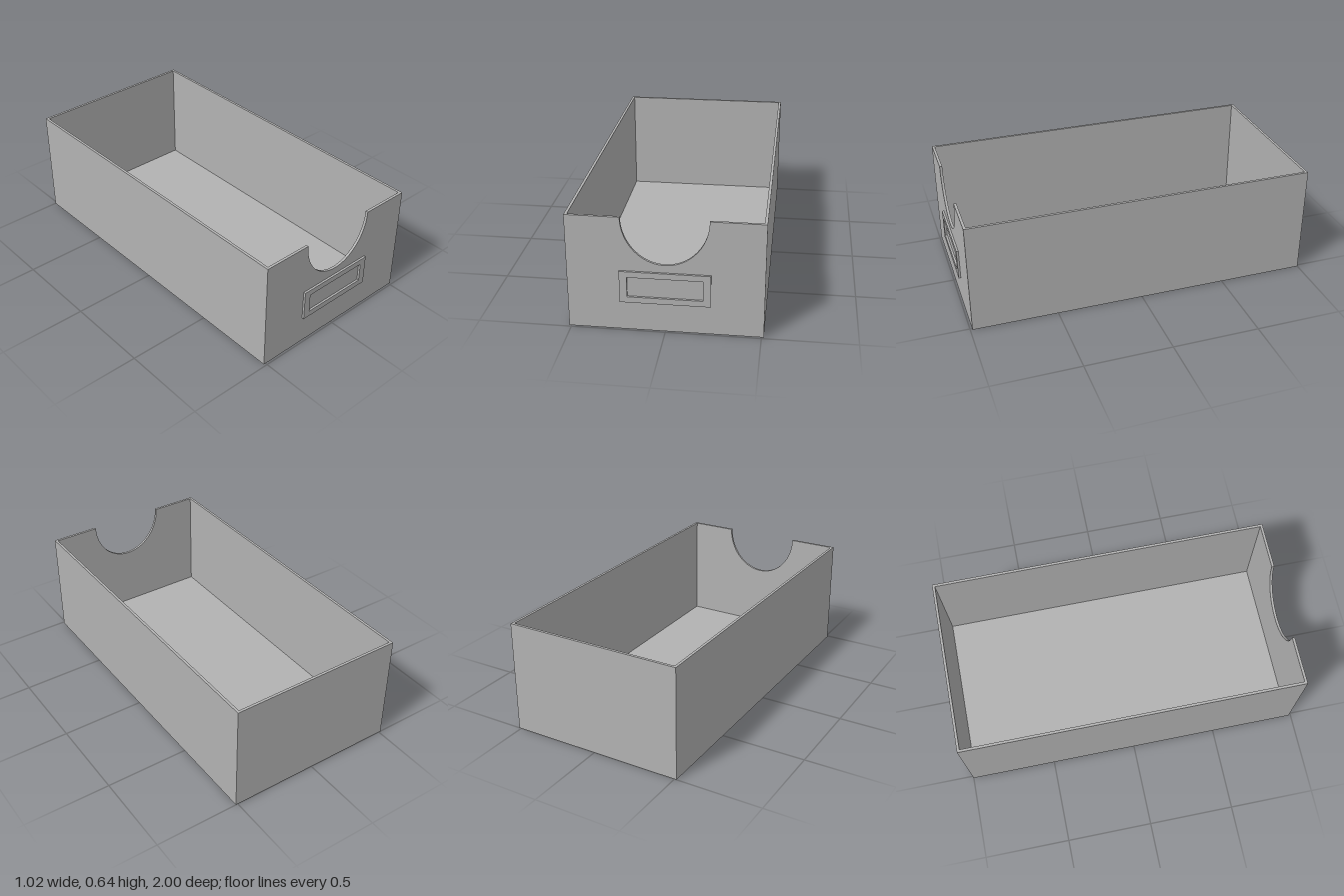
import * as THREE from 'three';

const W = 0.512, H = 0.641, BACK = -1, FRONT = 0.988; // outer box
const T = 0.015, FLOOR = 0.012;                       // wall and floor thickness

const grey = new THREE.MeshStandardMaterial({ color: 0xb2b2b2 });
grey.name = 'plain grey';

function add(group, name, geometry, x, y, z) {
  const mesh = new THREE.Mesh(geometry, grey);
  mesh.name = name;
  mesh.position.set(x, y, z);
  group.add(mesh);
}

function rectangle(path, x, y0, y1) {
  path.moveTo(-x, y0);
  path.lineTo(x, y0);
  path.lineTo(x, y1);
  path.lineTo(-x, y1);
  path.closePath();
  return path;
}

const extrude = (shape, depth) =>
  new THREE.ExtrudeGeometry(shape, { depth, bevelEnabled: false, curveSegments: 48 });

export function createModel() {
  const group = new THREE.Group();
  group.name = 'storageBox';
  const length = FRONT - BACK, midZ = (FRONT + BACK) / 2;

  // Floor fitted between the walls
  add(group, 'floor', new THREE.BoxGeometry(2 * (W - T), FLOOR, length - 2 * T), 0, FLOOR / 2, midZ);

  // Side walls, fitted between front and back
  for (const [name, side] of [['leftWall', 1], ['rightWall', -1]]) {
    add(group, name, new THREE.BoxGeometry(T, H, length - 2 * T), side * (W - T / 2), H / 2, midZ);
  }
  add(group, 'backWall', new THREE.BoxGeometry(2 * W, H, T), 0, H / 2, BACK + T / 2);

  // Front wall with a half-oval hand cutout in its top edge
  const front = new THREE.Shape();
  front.moveTo(-W, 0);
  front.lineTo(W, 0);
  front.lineTo(W, H);
  front.lineTo(0.227, H);
  front.absellipse(0, H, 0.227, 0.256, 0, Math.PI, true, 0);
  front.lineTo(-W, H);
  front.closePath();
  add(group, 'frontWall', extrude(front, T), 0, 0, FRONT - T);

  // Raised label holder with an open window
  const frame = rectangle(new THREE.Shape(), 0.237, 0.165, 0.343);
  frame.holes.push(rectangle(new THREE.Path(), 0.197, 0.198, 0.31));
  add(group, 'labelHolder', extrude(frame, 1 - FRONT), 0, 0, FRONT);

  return group;
}
